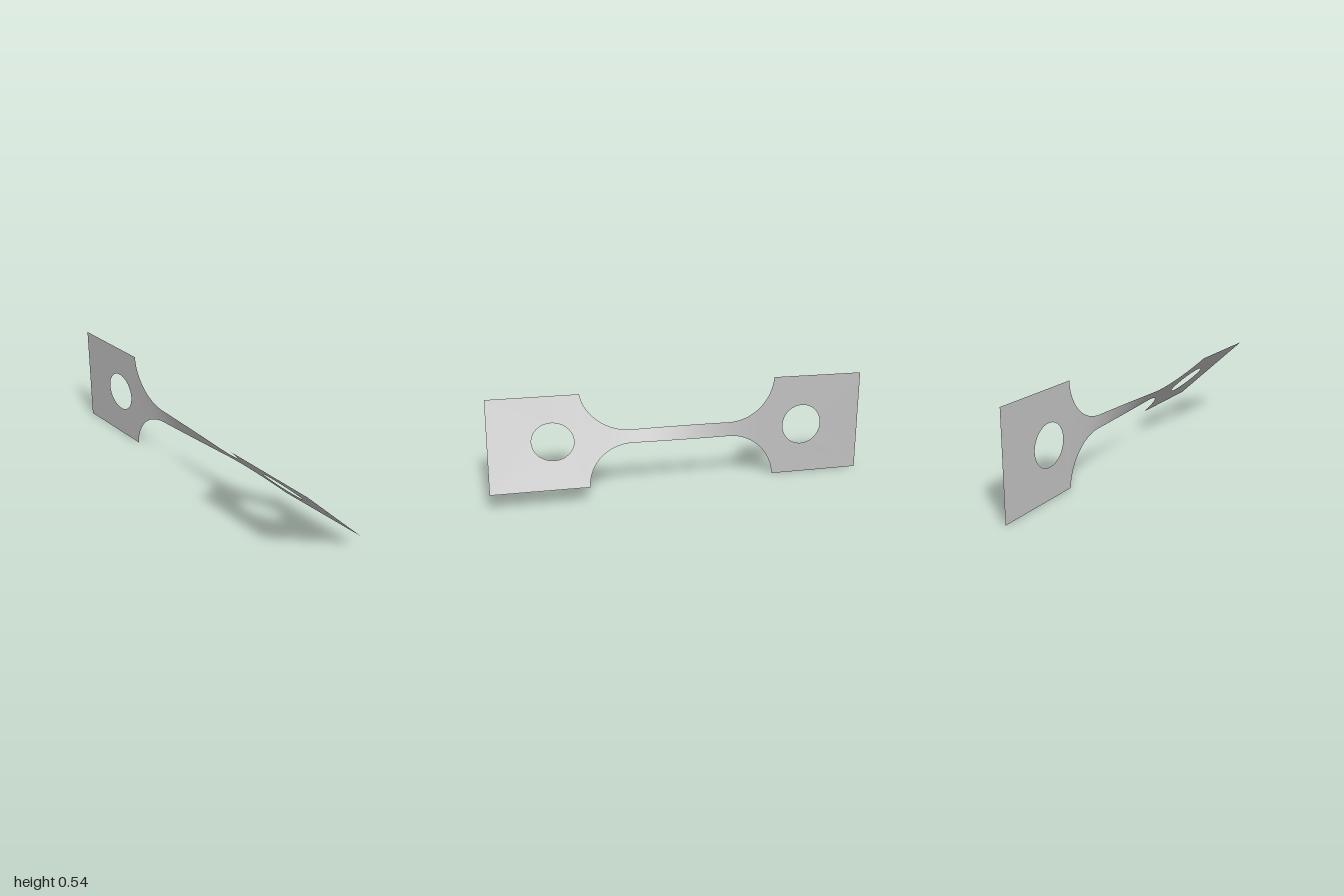
import * as THREE from 'three';

const CENTER_Y = 0.271;      // height of the twist axis
const GRIP_HALF = 0.271;     // half height of the square grips
const WAIST_HALF = 0.0375;   // half height of the narrow gauge
const WAIST_X = 0.26;        // where the fillets begin
const FILLET_R = 0.25;
const FILLET_ANGLE = Math.acos(1 - (GRIP_HALF - WAIST_HALF) / FILLET_R);
const GRIP_X = WAIST_X + FILLET_R * Math.sin(FILLET_ANGLE);
const TOTAL_TWIST = THREE.MathUtils.degToRad(46.3);

// Half height of the sheet at a given x
function halfHeight(x) {
  const u = Math.abs(x) - WAIST_X;
  if (u <= 0) return WAIST_HALF;
  if (Math.abs(x) >= GRIP_X) return GRIP_HALF;
  return WAIST_HALF + FILLET_R - Math.sqrt(FILLET_R * FILLET_R - u * u);
}

// Twist accumulates fastest where the sheet is narrow
const STEPS = 1000;
const twistTable = [0];
for (let i = 0; i < STEPS; i++) {
  const h = halfHeight(-1 + (2 * (i + 0.5)) / STEPS);
  twistTable.push(twistTable[i] + 1 / (h * h));
}
function twistAt(x) {
  const t = THREE.MathUtils.clamp((x + 1) / 2, 0, 1) * STEPS;
  const i = Math.min(Math.floor(t), STEPS - 1);
  const v = THREE.MathUtils.lerp(twistTable[i], twistTable[i + 1], t - i);
  return (v / twistTable[STEPS]) * TOTAL_TWIST;
}

// Rotate every vertex of a flat sheet about the long axis
function twist(geometry) {
  const p = geometry.attributes.position;
  for (let i = 0; i < p.count; i++) {
    const a = twistAt(p.getX(i));
    const d = p.getY(i);
    p.setXYZ(i, p.getX(i), CENTER_Y + d * Math.cos(a), d * Math.sin(a));
  }
  geometry.computeVertexNormals();
  return geometry;
}

// Square grip plate with a round pin hole
function gripGeometry(side) {
  const [x0, x1] = side < 0 ? [-1, -GRIP_X] : [GRIP_X, 1];
  const shape = new THREE.Shape();
  shape.moveTo(x0, -GRIP_HALF);
  shape.lineTo(x1, -GRIP_HALF);
  shape.lineTo(x1, GRIP_HALF);
  shape.lineTo(x0, GRIP_HALF);
  shape.closePath();
  const hole = new THREE.Path();
  hole.absarc(side * 0.672, 0, 0.108, 0, Math.PI * 2, true);
  shape.holes.push(hole);
  return twist(new THREE.ShapeGeometry(shape, 32));
}

// Narrow gauge with a fillet at each end
function gaugeGeometry() {
  const FILLET_STEPS = 32, WAIST_STEPS = 48, ROWS = 8;
  const stations = [];
  for (let i = FILLET_STEPS; i > 0; i--) {
    const a = (i / FILLET_STEPS) * FILLET_ANGLE;
    stations.push(-WAIST_X - FILLET_R * Math.sin(a));
  }
  const right = stations.map((x) => -x).reverse();
  for (let i = 0; i <= WAIST_STEPS; i++) {
    stations.push(-WAIST_X + (2 * WAIST_X * i) / WAIST_STEPS);
  }
  stations.push(...right);

  const columns = stations.length;
  const geometry = new THREE.PlaneGeometry(1, 2, columns - 1, ROWS);
  const p = geometry.attributes.position;
  for (let i = 0; i < p.count; i++) {
    const x = stations[i % columns];
    p.setXY(i, x, p.getY(i) * halfHeight(x));
  }
  return twist(geometry);
}

export function createModel() {
  const group = new THREE.Group();
  group.name = 'twistedTestStrip';
  const metal = new THREE.MeshStandardMaterial({ color: 0xc0c0c0, side: THREE.DoubleSide });
  metal.name = 'light grey metal';

  const add = (name, geometry) => {
    const mesh = new THREE.Mesh(geometry, metal);
    mesh.name = name;
    group.add(mesh);
  };
  add('rightGrip', gripGeometry(-1));
  add('twistedGauge', gaugeGeometry());
  add('leftGrip', gripGeometry(1));
  return group;
}
